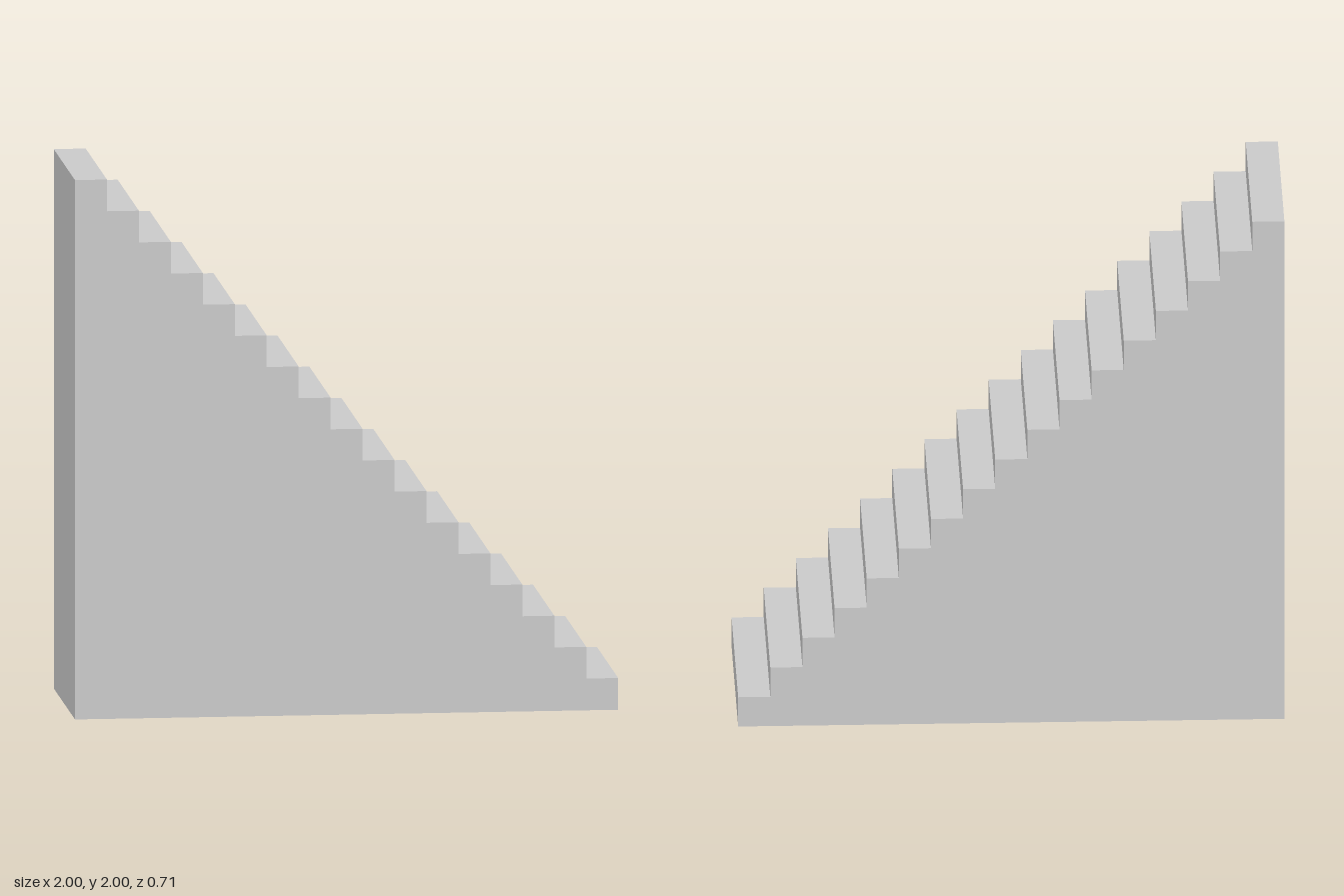
import * as THREE from 'three';

const STEPS = 17;
const STEP = 2 / STEPS; // equal tread and riser
const WIDTH = STEP * 6;

export function createModel() {
  const group = new THREE.Group();
  group.name = 'staircase';

  // Solid stepped side profile, rising toward -x
  const profile = new THREE.Shape();
  profile.moveTo(-1, 0);
  profile.lineTo(1, 0);
  for (let i = 0; i < STEPS; i++) {
    const top = (i + 1) * STEP;
    profile.lineTo(1 - i * STEP, top); // riser
    profile.lineTo(1 - (i + 1) * STEP, top); // tread
  }
  profile.closePath();

  // Extrude across the width of the flight
  const geometry = new THREE.ExtrudeGeometry(profile, { depth: WIDTH, bevelEnabled: false });
  geometry.translate(0, 0, -WIDTH / 2);

  const material = new THREE.MeshStandardMaterial({ color: 0xcccccc, flatShading: true });
  const stairs = new THREE.Mesh(geometry, material);
  stairs.name = 'steps';
  group.add(stairs);
  return group;
}
